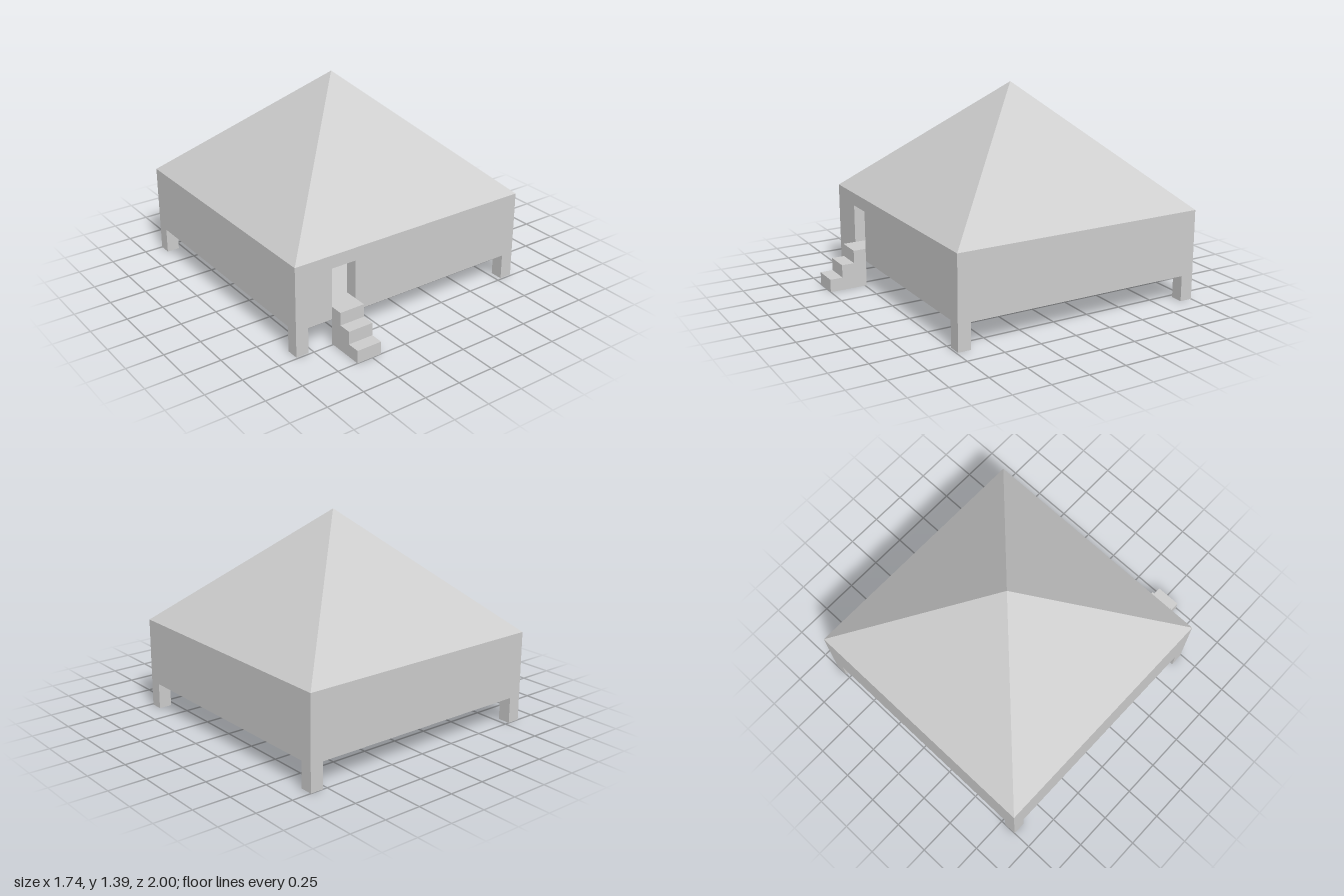
import * as THREE from 'three';

export function createModel() {
  const U = 2 / 23; // one grid module: wall thickness, step height, leg width
  const model = new THREE.Group();
  const material = new THREE.MeshStandardMaterial({ color: 0xcccccc, flatShading: true });

  function add(name, geometry, x = 0, y = 0, z = 0) {
    const mesh = new THREE.Mesh(geometry, material);
    mesh.name = name;
    mesh.position.set(x, y, z);
    model.add(mesh);
    return mesh;
  }
  // Box from its minimum and maximum corners
  const box = (name, x0, y0, z0, x1, y1, z1) =>
    add(name, new THREE.BoxGeometry(x1 - x0, y1 - y0, z1 - z0),
      (x0 + x1) / 2, (y0 + y1) / 2, (z0 + z1) / 2);
  // Extruded polygon, given as [x, y] pairs
  const prism = (points, depth) => new THREE.ExtrudeGeometry(
    new THREE.Shape(points.map(([x, y]) => new THREE.Vector2(x * U, y * U))),
    { depth, bevelEnabled: false });

  const half = 10 * U, inner = 9 * U;
  const back = -11.5 * U, front = 8.5 * U, middle = -1.5 * U;
  const legTop = 2 * U, floorTop = 3 * U, eaves = 7 * U;

  // Raised floor on four corner legs
  box('floor', -half, legTop, back, half, floorTop, front);
  for (const side of [-1, 1]) {
    for (const z of [back, front - U]) {
      const x = side < 0 ? -half : inner;
      box('leg', x, 0, z, x + U, legTop, z + U);
    }
  }

  // Hollow room: plain side and back walls, front wall with a doorway
  box('leftWall', inner, floorTop, back, half, eaves, front - U);
  box('rightWall', -half, floorTop, back, -inner, eaves, front - U);
  box('backWall', -inner, floorTop, back, inner, eaves, back + U);
  add('frontWall', prism([
    [-10, 3], [-7, 3], [-7, 6], [-5, 6], [-5, 3], [10, 3], [10, 7], [-10, 7],
  ], U), 0, 0, front - U);

  // Pyramid roof
  const roof = new THREE.ConeGeometry(half * Math.SQRT2, 9 * U, 4);
  roof.rotateY(Math.PI / 4);
  add('roof', roof, 0, eaves + 4.5 * U, middle);

  // Solid three-step stair: side profile extruded across its width
  const stairs = prism([
    [0, 0], [3, 0], [3, 1], [2, 1], [2, 2], [1, 2], [1, 3], [0, 3],
  ], 2 * U);
  stairs.rotateY(-Math.PI / 2);
  add('stairs', stairs, -5 * U, 0, front);

  return model;
}
